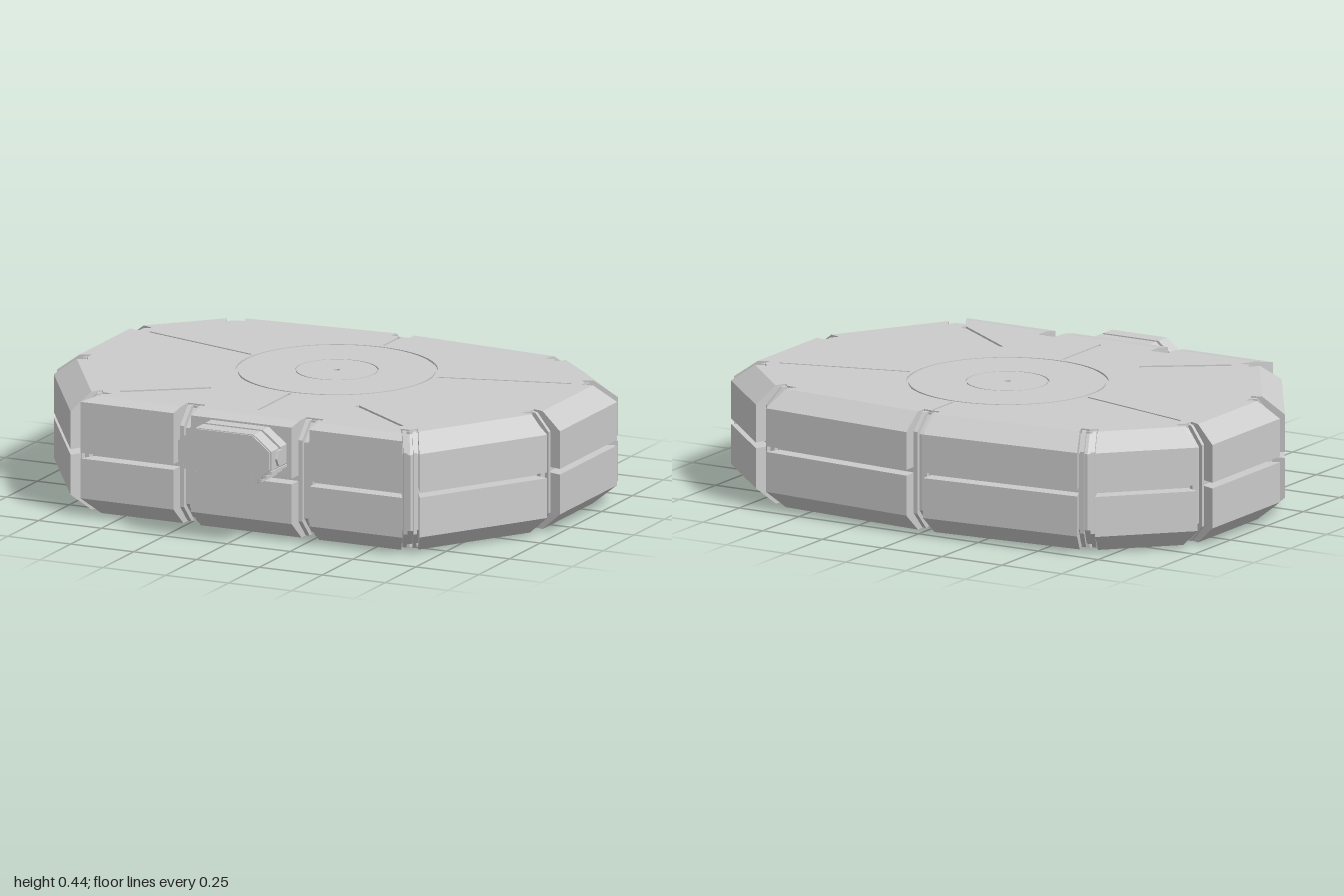
import * as THREE from 'three';
import { mergeGeometries } from 'three/addons/utils/BufferGeometryUtils.js';

const material = new THREE.MeshStandardMaterial({ color: 0xcccccc, flatShading: true });

// Plan outline [x, z], from the back centre round the +x side, then mirrored
const half = [[0, -0.78], [0.685, -0.727], [1, -0.41], [1, 0.125], [0.675, 0.635], [0.235, 0.635]];
const outline = [...half, ...half.slice(1).reverse().map(([x, z]) => [-x, z])].map(p => new THREE.Vector2(...p));
const N = outline.length;
const along = i => outline[(i + 1) % N].clone().sub(outline[i % N]).normalize();
const normal = i => { const t = along(i); return new THREE.Vector2(t.y, -t.x); };

// Outline corner moved inward by d along its mitre
function inset(i, d) {
  const a = normal(i + N - 1), b = normal(i);
  return outline[i % N].clone().addScaledVector(a.clone().add(b), -d / (1 + a.dot(b)));
}

// Solid with section [[inset, y], ...] along edge i, from startGap to endGap off the corners
function edgeSolid(i, section, startOf, endOf) {
  const pos = [];
  const ring = (fn) => section.map(([d, y]) => { const p = fn(d); return [p.x, y, p.y]; });
  const A = ring(startOf), B = ring(endOf), n = section.length;
  for (let k = 0; k < n; k++) {
    const m = (k + 1) % n;
    pos.push(...A[k], ...A[m], ...B[m], ...A[k], ...B[m], ...B[k]);
  }
  for (let k = 1; k < n - 1; k++) {
    pos.push(...A[0], ...A[k + 1], ...A[k], ...B[0], ...B[k], ...B[k + 1]);
  }
  const g = new THREE.BufferGeometry();
  g.setAttribute('position', new THREE.Float32BufferAttribute(pos, 3));
  g.computeVertexNormals();
  return g;
}
const fromStart = (i, s) => d => inset(i, d).addScaledVector(along(i), s);
const fromEnd = (i, s) => d => inset(i + 1, d).addScaledVector(along(i), -s);

// Flat plate from a plan shape, lying between y and y + h
function plate(shape, y, h) {
  return new THREE.ExtrudeGeometry(shape, { depth: h, bevelEnabled: false, curveSegments: 32 })
    .rotateX(-Math.PI / 2).translate(0, y, 0);
}
const planShape = d => new THREE.Shape(outline.map((_, i) => { const p = inset(i, d); return new THREE.Vector2(p.x, -p.y); }));
const HUB_Z = -0.14;
const circle = (r, x = 0, z = HUB_Z, sides = 64) => Array.from({ length: sides }, (_, k) => {
  const a = k / sides * Math.PI * 2;
  return new THREE.Vector2(x + r * Math.cos(a), -z + r * Math.sin(a));
});
function slot(x0, z0, x1, z1, w) {
  const a = new THREE.Vector2(x0, -z0), b = new THREE.Vector2(x1, -z1);
  const s = b.clone().sub(a).normalize().multiplyScalar(w / 2);
  const q = new THREE.Vector2(-s.y, s.x);
  return [a.clone().add(q), a.clone().sub(q), b.clone().sub(q), b.clone().add(q)];
}

export function createModel() {
  const model = new THREE.Group();
  const add = (name, geometry, parent = model) => {
    const mesh = new THREE.Mesh(geometry, material);
    mesh.name = name;
    parent.add(mesh);
    return mesh;
  };

  // Inner body, seen in the grooves between the panels
  add('core', plate(planShape(0.115), 0.007, 0.421));
  const coreSection = [[0.055, 0.08], [0.055, 0.36], [0.115, 0.42], [0.14, 0.42], [0.14, 0.015], [0.115, 0.015]];
  const railSection = [[0.04, 0.07], [0.04, 0.37], [0.1, 0.43], [0.12, 0.43], [0.12, 0.005], [0.1, 0.005]];
  const core = [], rails = [];

  // Armour panels in two tiers, with a gap at each corner
  const panels = new THREE.Group();
  panels.name = 'armourPanels';
  model.add(panels);
  const lower = [[0, 0.068], [0, 0.215], [0.12, 0.215], [0.12, 0], [0.08, 0]];
  const upper = [[0, 0.236], [0, 0.375], [0.08, 0.435], [0.12, 0.435], [0.12, 0.236]];
  const upperFront = [[0, 0.236], [0, 0.424], [0.065, 0.435], [0.12, 0.435], [0.12, 0.236]];
  for (let i = 0; i < N; i++) {
    const isFront = i >= 4 && i <= 6;
    const gap = 0.035;
    add('lowerPanel', edgeSolid(i, lower, fromStart(i, gap), fromEnd(i, gap)), panels);
    add('upperPanel', edgeSolid(i, isFront ? upperFront : upper, fromStart(i, gap), fromEnd(i, gap)), panels);
    core.push(edgeSolid(i, coreSection, fromStart(i, 0), fromEnd(i, 0)));
    rails.push(edgeSolid(i, railSection, fromStart(i, 0.012), fromStart(i, 0.028)));
    rails.push(edgeSolid(i, railSection, fromEnd(i, 0.028), fromEnd(i, 0.012)));
  }
  add('coreWall', mergeGeometries(core));
  add('gapRails', mergeGeometries(rails));

  // Top and bottom plates with a round hub and radial grooves
  for (const [name, y] of [['top', 0.425], ['bottom', 0]]) {
    const isTop = name === 'top';
    const deck = planShape(0.12);
    const cuts = [circle(0.362), slot(0, 0.24, 0, 0.5, 0.01), slot(0, -0.52, 0, -0.65, 0.01)];
    for (const s of [-1, 1]) {
      cuts.push(slot(s * 0.37, -0.2, s * 0.84, -0.33, 0.01));
      cuts.push(slot(s * 0.29, 0.29, s * 0.56, 0.48, isTop ? 0.02 : 0.008));
      if (!isTop) cuts.push(circle(0.03, s * 0.3, 0.36, 6));
    }
    cuts.forEach(c => deck.holes.push(new THREE.Path(c)));
    add(name + 'Plate', plate(deck, y, 0.01));
    const ring = new THREE.Shape(circle(0.353));
    ring.holes.push(new THREE.Path(circle(0.15)));
    add(name + 'HubRing', plate(ring, y, 0.01));
    const hub = new THREE.Shape(circle(0.145));
    hub.holes.push(new THREE.Path(isTop ? circle(0.012, 0, HUB_Z, 16) : circle(0.05, 0, HUB_Z, 6)));
    add(name + 'Hub', plate(hub, y, 0.01));
  }

  // Octagonal coupling on the front
  const coupling = new THREE.Group();
  coupling.name = 'frontCoupling';
  model.add(coupling);
  const quarter = [[0.115, 0.09], [0.185, 0.035], [0.185, -0.035], [0.125, -0.09]];
  const octagon = s => [...quarter, ...quarter.slice().reverse().map(([x, y]) => [-x, y])]
    .map(([x, y]) => new THREE.Vector2(x * s, 0.33 + y * s));
  const block = (name, s, z0, z1, hole) => {
    const shape = new THREE.Shape(octagon(s));
    if (hole) shape.holes.push(new THREE.Path(octagon(hole)));
    add(name, new THREE.ExtrudeGeometry(shape, { depth: z1 - z0, bevelEnabled: false }).translate(0, 0, z0), coupling);
  };
  block('neck', 0.93, 0.6, 0.765);
  block('rearCollar', 1, 0.645, 0.695);
  block('frontCollar', 1, 0.71, 0.77);
  block('frontRim', 0.97, 0.765, 0.776, 0.88);
  for (const s of [-1, 1]) {
    // Side bolts and stepped ribs below them
    const bolt = add('sideBolt', new THREE.CylinderGeometry(0.032, 0.032, 0.02, 6), coupling);
    bolt.rotation.z = Math.PI / 2;
    bolt.position.set(s * 0.183, 0.33, 0.708);
    for (let k = 0; k < 3; k++) {
      const rib = add('sideRib', new THREE.BoxGeometry(0.04, 0.01, 0.125), coupling);
      rib.position.set(s * (0.126 + k * 0.02), 0.252 + k * 0.017, 0.708);
    }
  }
  return model;
}
